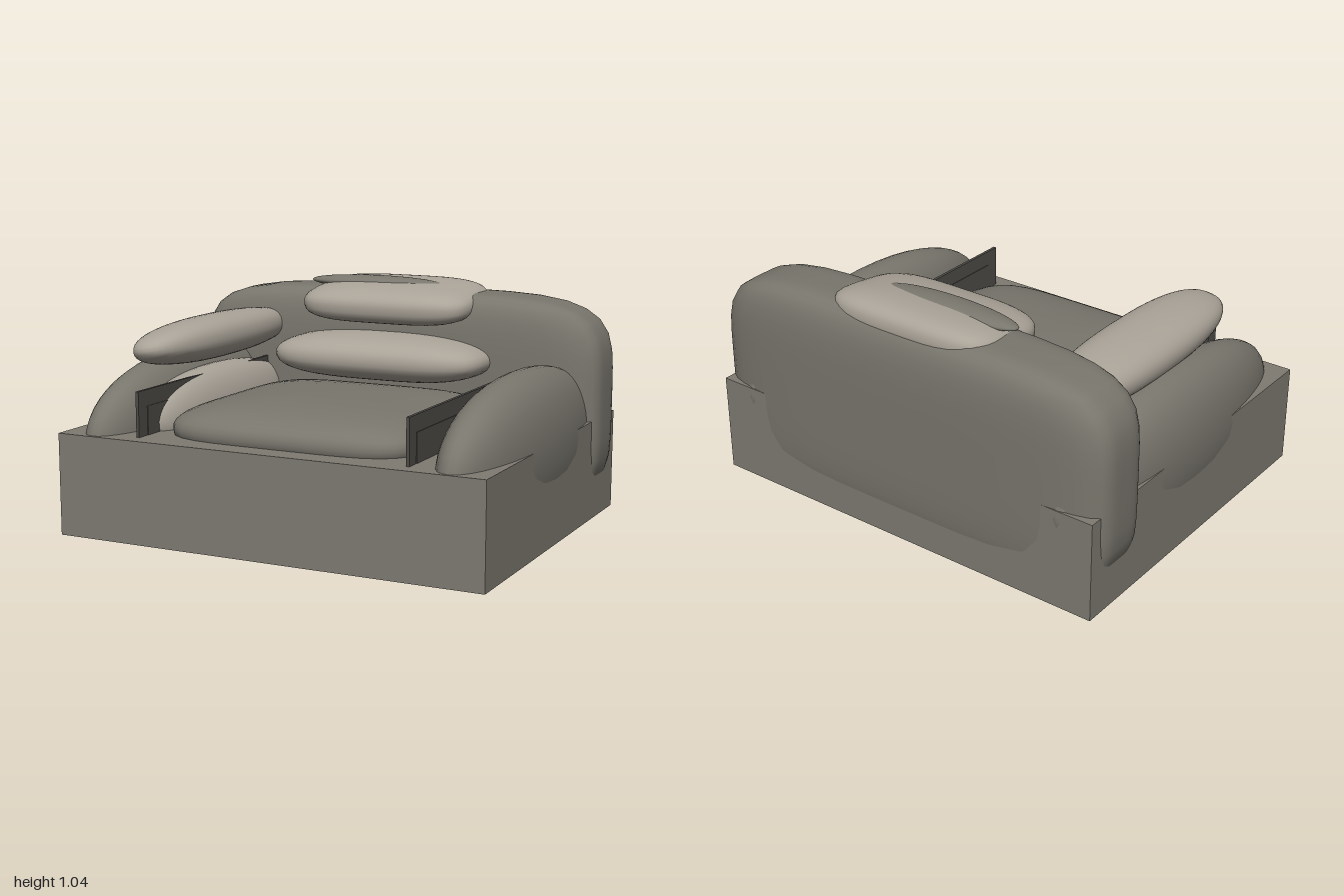
import * as THREE from 'three';
import { mergeVertices } from 'three/addons/utils/BufferGeometryUtils.js';

const mat = (name, color) => {
  const m = new THREE.MeshStandardMaterial({ color });
  m.name = name;
  return m;
};

// Stuffed form: p rounds the x-z outline, q rounds the vertical profile.
function pillowGeometry(hx, hy, hz, p, q, segments = 12) {
  let g = new THREE.BoxGeometry(2, 2, 2, segments, segments, segments);
  g.deleteAttribute('normal');
  g.deleteAttribute('uv');
  g = mergeVertices(g, 1e-4);
  const pos = g.attributes.position;
  const v = new THREE.Vector3();
  for (let i = 0; i < pos.count; i++) {
    v.fromBufferAttribute(pos, i);
    const plan = Math.pow(Math.abs(v.x) ** p + Math.abs(v.z) ** p, q / p);
    const r = Math.pow(plan + Math.abs(v.y) ** q, 1 / q);
    pos.setXYZ(i, (v.x / r) * hx, (v.y / r) * hy, (v.z / r) * hz);
  }
  g.computeVertexNormals();
  return g;
}

export function createModel() {
  const model = new THREE.Group();
  model.name = 'armchair';
  const frame = mat('frame grey', 0x7f7b72);
  const fabric = mat('upholstery grey', 0x79766d);
  const light = mat('pillow beige', 0xaaa398);
  const dark = mat('panel dark grey', 0x4e4c48);

  const add = (name, geometry, material, x, y, z) => {
    const mesh = new THREE.Mesh(geometry, material);
    mesh.name = name;
    mesh.position.set(x, y, z);
    model.add(mesh);
    return mesh;
  };
  const pillow = (name, material, [hx, hy, hz], [x, y, z], p, q) =>
    add(name, pillowGeometry(hx, hy, hz, p, q), material, x, y, z);

  // Solid base
  add('base', new THREE.BoxGeometry(1.95, 0.445, 1.56), frame, 0, 0.2225, 0.005);

  // Upholstered back and seat
  pillow('backrest', fabric, [1, 0.48, 0.197], [0, 0.5, -0.588], 5, 5);
  pillow('seatCushion', fabric, [0.59, 0.125, 0.565], [0.005, 0.468, 0.115], 5, 2.5);

  // Arms with a thin dark panel on the inner side of each
  for (const side of [-1, 1]) {
    const name = side > 0 ? 'left' : 'right';
    pillow(name + 'Arm', fabric, [0.175, 0.33, 0.78], [side * 0.81, 0.4, 0], 2.15, 2.1);
    add(name + 'ArmPanel', new THREE.BoxGeometry(0.014, 0.5, 1.43), dark, side * 0.62, 0.39, 0);
    add(name + 'PanelInset', new THREE.BoxGeometry(0.02, 0.42, 1.3), dark, side * 0.62, 0.36, 0);
  }

  // Loose back pillows
  pillow('lowerBackPillow', light, [0.515, 0.11, 0.29], [0.003, 0.685, -0.435], 4, 2.4);
  pillow('headPillow', light, [0.415, 0.088, 0.245], [0.005, 0.932, -0.502], 4, 2.8)
    .rotation.x = 0.13;
  // Upholstery showing along the fold of the head pillow
  pillow('headPillowFold', fabric, [0.34, 0.033, 0.075], [-0.09, 1.003, -0.51], 2, 2);

  // Bolsters resting on and beside the right arm
  pillow('armBolster', light, [0.162, 0.1, 0.585], [-0.67, 0.786, 0], 2.5, 2.3)
    .rotation.z = 0.15;
  pillow('sideBolster', light, [0.125, 0.18, 0.58], [-0.65, 0.48, 0], 2.5, 2.2)
    .rotation.z = 0.2;

  return model;
}
